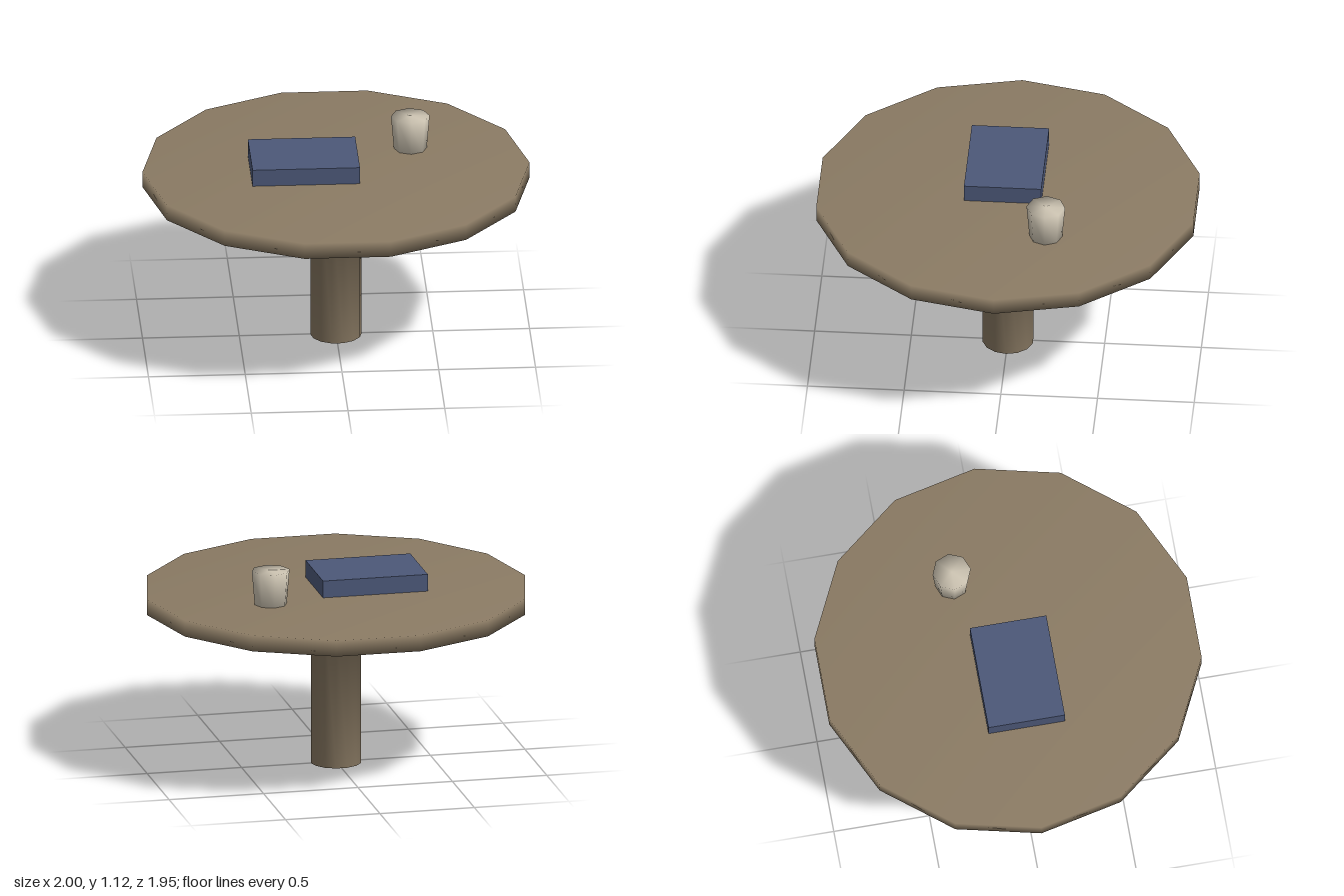
import * as THREE from 'three';

function paint(name, color) {
  const m = new THREE.MeshStandardMaterial({ color });
  m.name = name;
  return m;
}

// Closed solid of revolution with soft normals and one corner on the +x axis
function turned(name, profile, sides, material) {
  const points = profile.map(([r, y]) => new THREE.Vector2(r, y));
  const mesh = new THREE.Mesh(new THREE.LatheGeometry(points, sides, Math.PI / 2), material);
  mesh.name = name;
  return mesh;
}

export function createModel() {
  const group = new THREE.Group();
  group.name = 'pedestalTable';

  const wood = paint('brown wood', 0x8b7b64);
  const cover = paint('blue cover', 0x4c5878);
  const ceramic = paint('cream ceramic', 0xcfc6b4);

  const topY = 0.935;

  // Pedestal and tabletop turned as one piece
  group.add(turned('pedestalTable', [
    [0, 0], [0.133, 0], [0.133, 0.805], [1, 0.85], [1, topY], [0, topY],
  ], 14, wood));

  // Book lying on the table
  const book = new THREE.Mesh(new THREE.BoxGeometry(0.555, 0.09, 0.4), cover);
  book.name = 'book';
  book.position.set(-0.167, topY + 0.045, 0.02);
  group.add(book);

  // Tapered cup
  const cup = turned('cup', [[0, 0], [0.085, 0], [0.1, 0.18], [0, 0.18]], 8, ceramic);
  cup.position.set(0.398, topY, -0.225);
  group.add(cup);

  return group;
}
